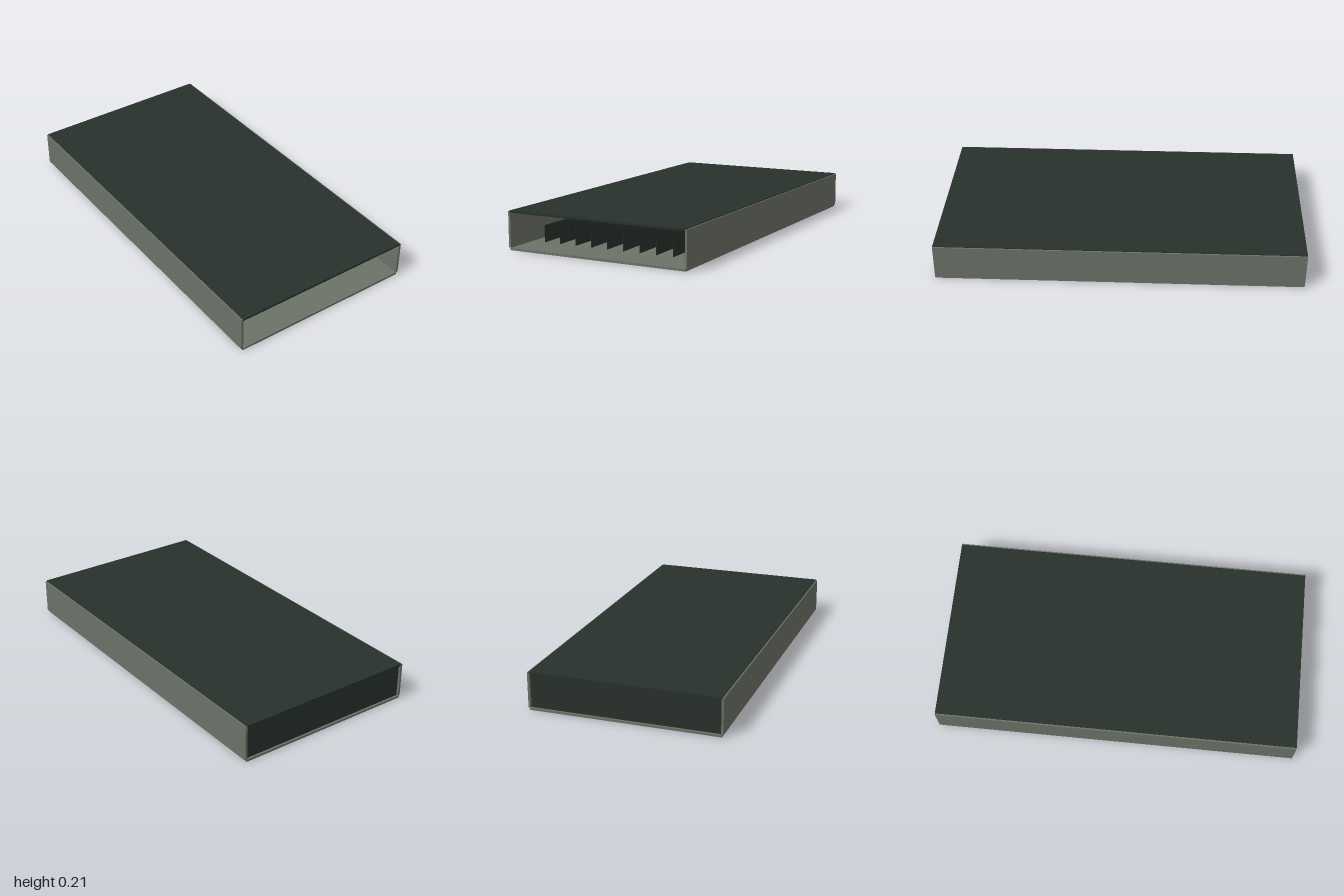
import * as THREE from 'three';

const paint = (color) => new THREE.MeshStandardMaterial({ color });

export function createModel() {
  const group = new THREE.Group();
  const grey = paint(0x6b7267);
  const dark = paint(0x28312c);
  const copper = paint(0x8a5a2b);

  // Box given by its lower and upper corners
  const box = (name, min, max, material) => {
    const size = max.map((v, i) => v - min[i]);
    const mesh = new THREE.Mesh(new THREE.BoxGeometry(...size), material);
    mesh.position.set(...max.map((v, i) => (v + min[i]) / 2));
    mesh.name = name;
    group.add(mesh);
  };

  // Shell, open at the front
  box('floor', [-0.515, 0, -1], [0.515, 0.012, 1], grey);
  box('lid', [-0.515, 0.198, -1], [0.515, 0.21, 1], dark);
  box('leftWall', [0.511, 0.013, -1], [0.523, 0.206, 1], grey);
  box('rightWall', [-0.523, 0.013, -1], [-0.511, 0.206, 1], grey);
  box('backPanel', [-0.511, 0.012, -0.988], [0.511, 0.198, -0.976], dark);

  // Rail under the lid at the back
  box('backRail', [-0.511, 0.174, -0.976], [0.511, 0.198, -0.955], dark);

  // Row of thin upright dividers, each with a small contact strip beside it
  for (let i = 0; i < 10; i++) {
    const x = -0.436 + i * 0.0968;
    box('divider', [x - 0.001, 0.012, -0.976], [x + 0.001, 0.105, 0.8], dark);
    box('contactStrip', [x + 0.014, 0.043, -0.976], [x + 0.05, 0.046, -0.95], copper);
  }
  return group;
}
